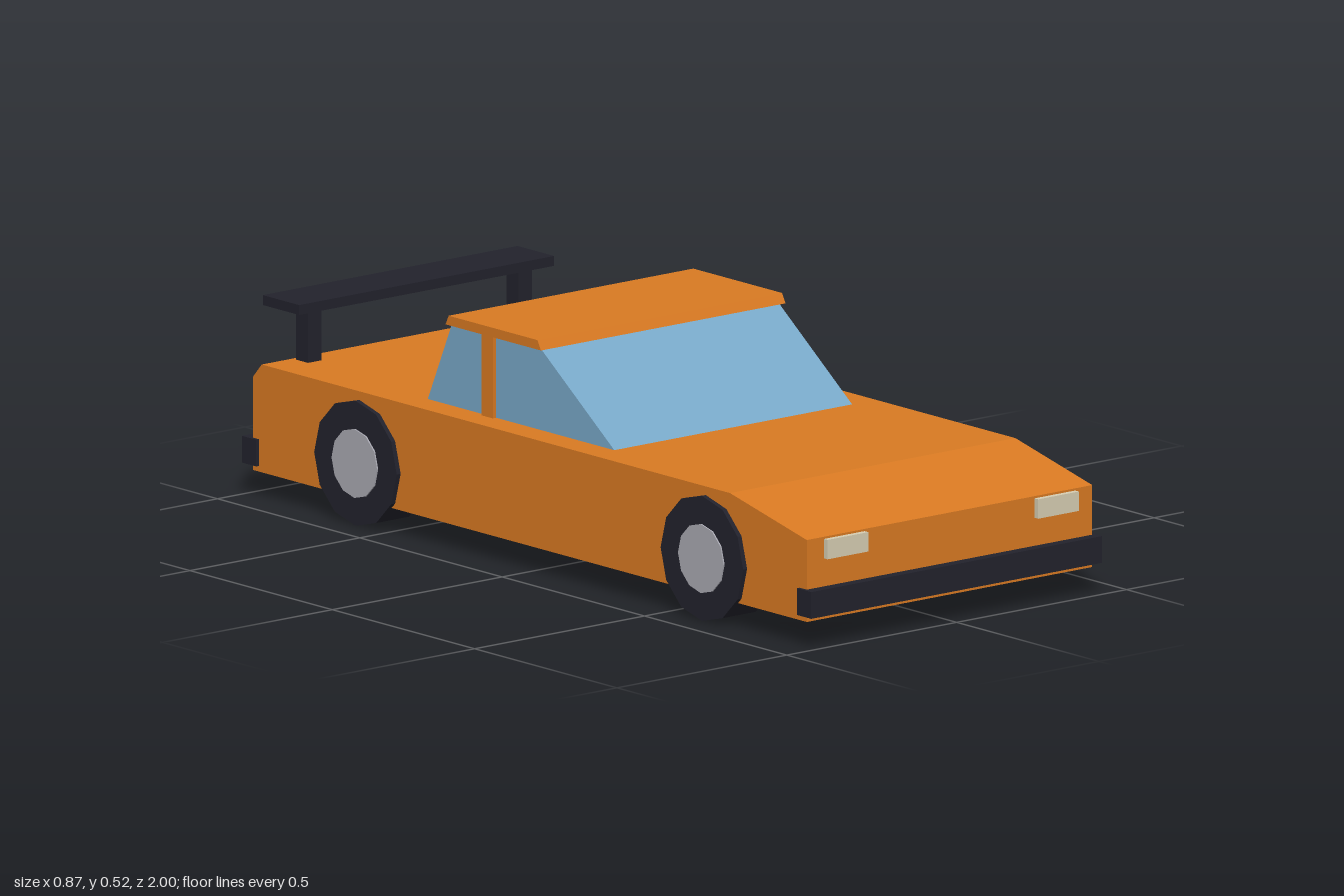
import * as THREE from 'three';

const mat = (name, color) => {
  const m = new THREE.MeshStandardMaterial({ color });
  m.name = name;
  return m;
};

export function createModel() {
  const car = new THREE.Group();
  car.name = 'car';
  const paint = mat('orange paint', 0xd97a22);
  const glass = mat('blue glass', 0x78a8c8);
  const black = mat('black trim', 0x22222c);
  const silver = mat('silver hub', 0xa9a9b2);
  const cream = mat('cream lamp', 0xd6cdb2);
  const red = mat('red lamp', 0xb81c22);

  const add = (name, geometry, material) => {
    const mesh = new THREE.Mesh(geometry, material);
    mesh.name = name;
    car.add(mesh);
    return mesh;
  };

  // Box given by its low and high limits on each axis
  const box = (name, material, [x0, x1], [y0, y1], [z0, z1]) =>
    add(name, new THREE.BoxGeometry(x1 - x0, y1 - y0, z1 - z0), material)
      .position.set((x0 + x1) / 2, (y0 + y1) / 2, (z0 + z1) / 2);

  // Side profile of [z, y] points, extruded across the car
  const slab = (name, material, width, points) => {
    const shape = new THREE.Shape(points.map(([z, y]) => new THREE.Vector2(z, y)));
    const g = new THREE.ExtrudeGeometry(shape, { depth: width, bevelEnabled: false });
    g.translate(0, 0, -width / 2).rotateY(-Math.PI / 2);
    return add(name, g, material);
  };

  // Body, cabin and roof
  slab('body', paint, 0.84, [
    [-0.97, 0.06], [0.975, 0.06], [0.975, 0.25], [0.705, 0.31], [-0.94, 0.31], [-0.97, 0.277],
  ]);
  slab('cabinGlass', glass, 0.7, [[-0.44, 0.31], [0.215, 0.31], [-0.045, 0.5], [-0.355, 0.5]]);
  slab('roof', paint, 0.72, [[-0.366, 0.498], [-0.031, 0.498], [-0.043, 0.52], [-0.355, 0.52]]);

  // Bumpers
  box('frontBumper', black, [-0.428, 0.428], [0.073, 0.135], [0.95, 1]);
  box('rearBumper', black, [-0.428, 0.428], [0.073, 0.135], [-1, -0.95]);

  // Spoiler wing
  box('spoilerWing', black, [-0.375, 0.375], [0.432, 0.455], [-0.99, -0.862]);

  for (const s of [-1, 1]) {
    const side = s > 0 ? 'left' : 'right';
    const span = (a, b) => (s > 0 ? [a, b] : [-b, -a]);
    box(side + 'DoorPillar', paint, span(0.34, 0.36), [0.31, 0.5], [-0.24, -0.2]);
    box(side + 'SpoilerPost', black, span(0.29, 0.33), [0.305, 0.435], [-0.927, -0.885]);
    box(side + 'Headlight', cream, span(0.25, 0.37), [0.2, 0.245], [0.965, 0.988]);
    box(side + 'TailLight', red, span(0.25, 0.35), [0.2, 0.243], [-0.985, -0.96]);

    // Wheels with slightly proud hubs
    for (const [end, z] of [['Front', 0.62], ['Rear', -0.597]]) {
      const tyre = new THREE.CylinderGeometry(0.145, 0.145, 0.097, 12).toNonIndexed();
      const hub = new THREE.CylinderGeometry(0.08, 0.08, 0.02, 12).toNonIndexed();
      for (const [part, g, m, x] of [['Tyre', tyre, black, 0.383], ['Hub', hub, silver, 0.425]]) {
        g.rotateZ(Math.PI / 2).computeVertexNormals();
        add(side + end + part, g, m).position.set(s * x, 0.145, z);
      }
    }
  }
  return car;
}
